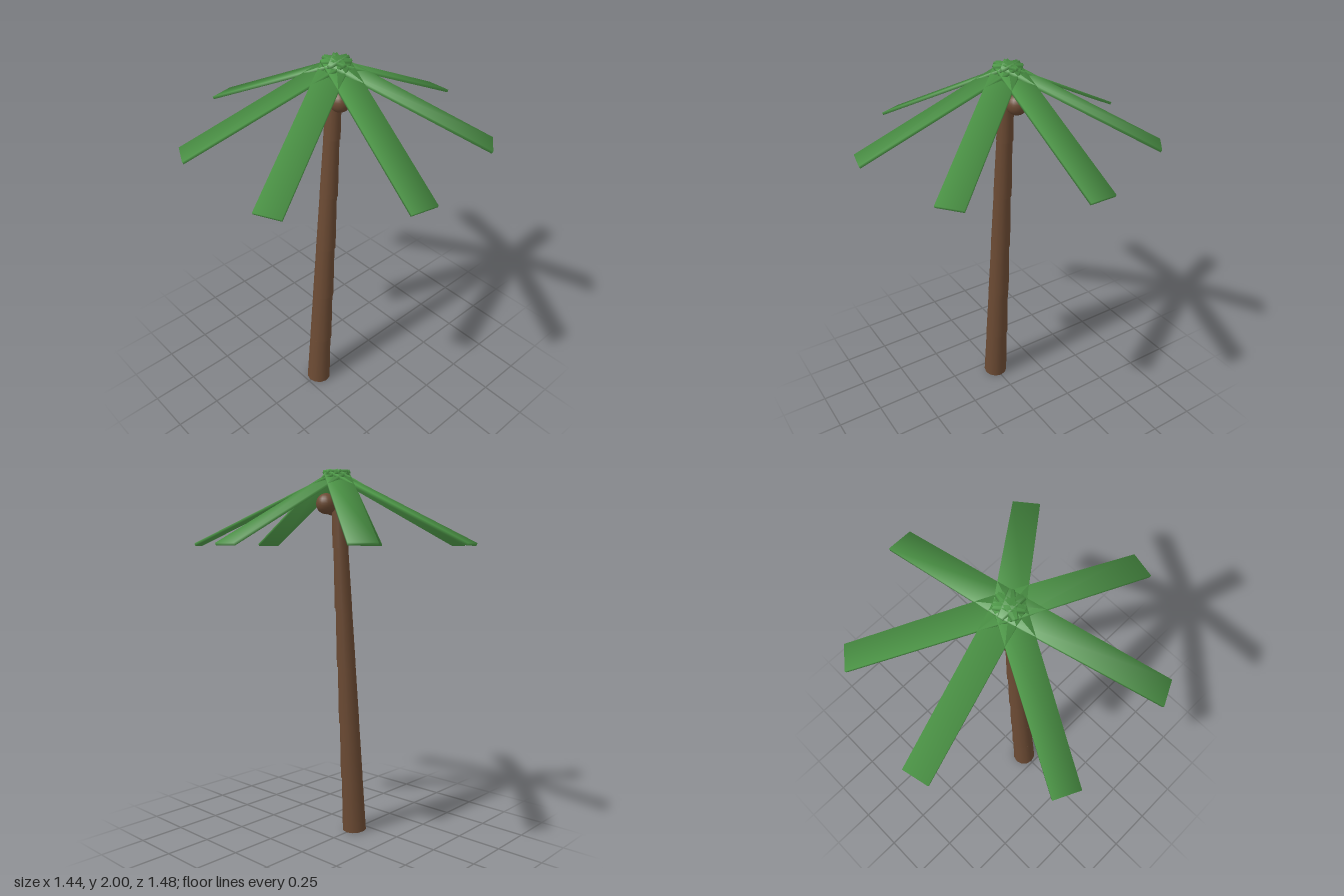
import * as THREE from 'three';

export function createModel() {
  const model = new THREE.Group();
  model.name = 'palmTree';

  const bark = new THREE.MeshStandardMaterial({ color: 0x6b4a33 });
  bark.name = 'barkBrown';
  const leaf = new THREE.MeshStandardMaterial({ color: 0x4f9a49 });
  leaf.name = 'leafGreen';

  const add = (parent, name, geometry, material) => {
    const mesh = new THREE.Mesh(geometry, material);
    mesh.name = name;
    parent.add(mesh);
    return mesh;
  };

  // Leaning trunk of six tapered sections, each stepping out a little over the one below
  const trunk = new THREE.Group();
  trunk.name = 'trunk';
  trunk.position.set(-0.175, 0.005, 0);
  trunk.rotation.z = -Math.atan(0.147 / 1.92);
  model.add(trunk);
  const sections = 6, step = 0.321;
  const radiusAt = (i) => 0.068 - 0.005 * i;
  for (let i = 0; i < sections; i++) {
    const geo = new THREE.CylinderGeometry(radiusAt(i + 1) - 0.003, radiusAt(i), step, 12);
    const section = add(trunk, 'trunkSection' + (i + 1), geo, bark);
    section.position.set(0, step * (i + 0.5), 0);
    section.rotation.z = 0.01;
  }

  // Crown of seven drooping fronds: thin boards with soft corner normals
  const crown = new THREE.Group();
  crown.name = 'crown';
  crown.position.x = -0.022;
  model.add(crown);
  const root = [-0.027, 1.993], tip = [0.74, 1.62];
  const run = tip[0] - root[0], drop = root[1] - tip[1];
  const frondGeo = new THREE.BoxGeometry(Math.hypot(run, drop), 0.014, 0.134);
  const pos = frondGeo.attributes.position;
  const k = 1 / Math.sqrt(3);
  for (let i = 0; i < pos.count; i++) {
    frondGeo.attributes.normal.setXYZ(i,
      k * Math.sign(pos.getX(i)), k * Math.sign(pos.getY(i)), k * Math.sign(pos.getZ(i)));
  }
  for (let i = 0; i < 7; i++) {
    const arm = new THREE.Group();
    arm.name = 'frondArm' + (i + 1);
    arm.rotation.y = (i * Math.PI * 2) / 7;
    crown.add(arm);
    const frond = add(arm, 'frond', frondGeo, leaf);
    frond.position.set((root[0] + tip[0]) / 2, (root[1] + tip[1]) / 2, 0);
    frond.rotation.z = -Math.atan2(drop, run);
  }

  // Three coconuts around the top of the trunk
  const nutGeo = new THREE.SphereGeometry(0.053, 20, 14);
  for (let i = 0; i < 3; i++) {
    const a = (i * Math.PI * 2) / 3;
    const nut = add(model, 'coconut' + (i + 1), nutGeo, bark);
    nut.position.set(-0.02 + 0.077 * Math.cos(a), 1.827, 0.077 * Math.sin(a));
  }

  return model;
}
